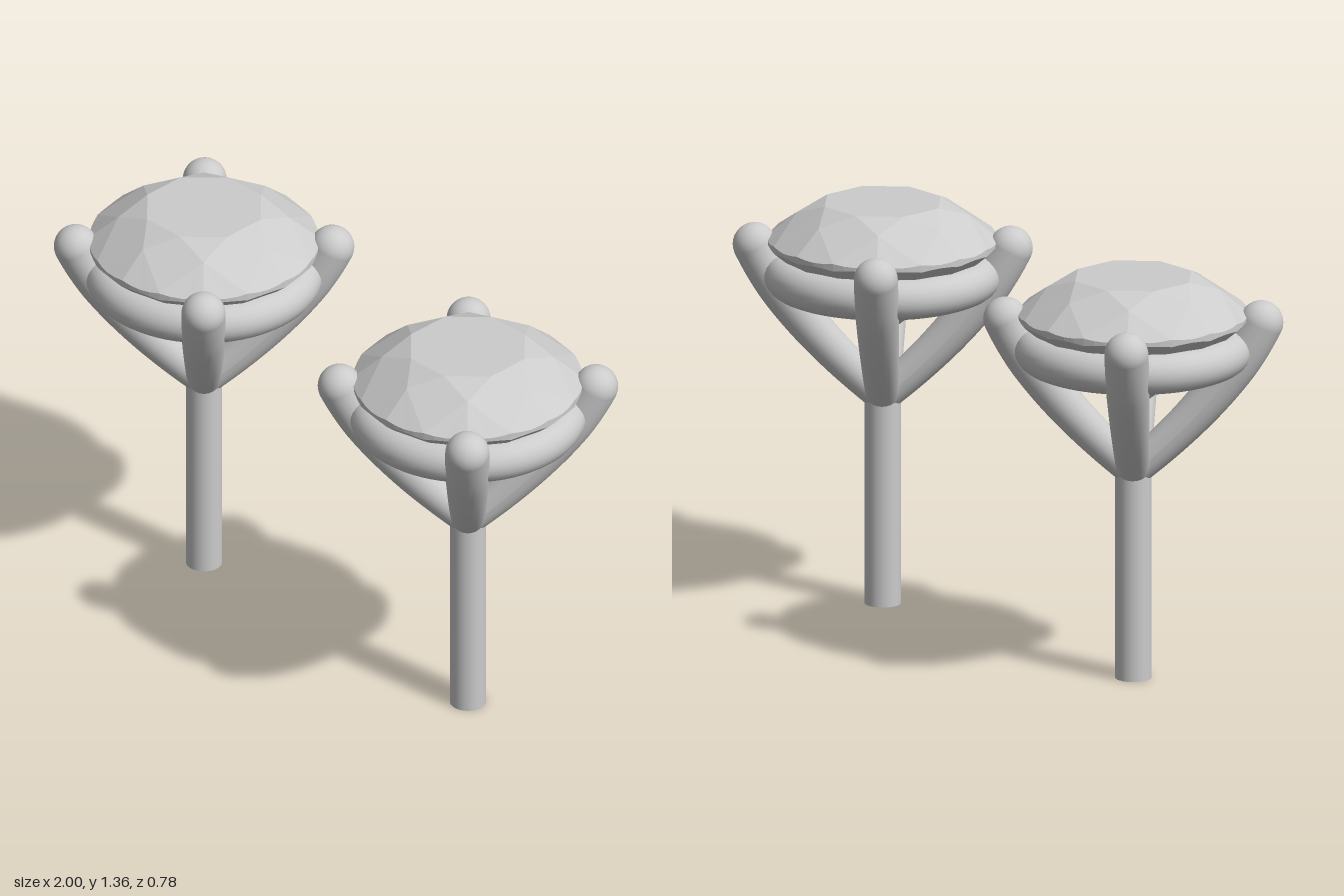
import * as THREE from 'three';

const metal = new THREE.MeshStandardMaterial({ color: 0xcccccc });
const faceted = new THREE.MeshStandardMaterial({ color: 0xcccccc, flatShading: true });

function add(parent, name, geometry, material = metal) {
  const mesh = new THREE.Mesh(geometry, material);
  mesh.name = name;
  parent.add(mesh);
  return mesh;
}

// Round brilliant cut: table, star, kite, girdle and pavilion facets
function gemGeometry() {
  const R = 0.375, pos = [];
  const P = (r, deg, y) => {
    const a = THREE.MathUtils.degToRad(deg);
    return [r * Math.sin(a), y, r * Math.cos(a)];
  };
  const tri = (...corners) => corners.forEach((c) => pos.push(...c));
  const wave = (deg) => 0.0065 * Math.abs(Math.sin(THREE.MathUtils.degToRad(8 * deg)));
  const top = (deg) => P(R, deg, 1.237 - wave(deg));
  const low = (deg) => P(R, deg, 1.212 + wave(deg));
  const tableCentre = [0, 1.355, 0], culet = [0, 0.9, 0];

  for (let i = 0; i < 8; i++) {
    const d = i * 45, a = d - 22.5, b = d + 22.5;
    const tableA = P(0.2, a, 1.355), tableB = P(0.2, b, 1.355);
    const star = P(0.28, d, 1.315), nextStar = P(0.28, d + 45, 1.315);
    const tip = P(0.08, d, 0.9615), nextTip = P(0.08, d + 45, 0.9615);
    tri(tableCentre, tableA, tableB);
    tri(tableA, star, tableB);
    // crown kite and pavilion main facet
    tri(tableB, star, top(b));
    tri(tableB, top(b), nextStar);
    tri(culet, low(b), tip);
    tri(culet, nextTip, low(b));
    // girdle band with the half facets above and below it
    for (let k = 0; k < 8; k++) {
      const u = a + k * 5.625, v = u + 5.625;
      tri(star, top(u), top(v));
      tri(low(u), low(v), top(v));
      tri(low(u), top(v), top(u));
      tri(tip, low(v), low(u));
    }
  }
  const g = new THREE.BufferGeometry();
  g.setAttribute('position', new THREE.Float32BufferAttribute(pos, 3));
  g.computeVertexNormals();
  return g;
}

// Curved prong that swells from the post to its rounded tip
function prongGeometry() {
  const curve = new THREE.QuadraticBezierCurve3(
    new THREE.Vector3(0, 0.7, 0),
    new THREE.Vector3(0.3, 0.958, 0),
    new THREE.Vector3(0.417, 1.205, 0)
  );
  const rings = 24, sides = 24;
  const g = new THREE.TubeGeometry(curve, rings, 0.072, sides, false);
  const p = g.attributes.position, v = new THREE.Vector3();
  for (let i = 0; i < p.count; i++) {
    const t = Math.floor(i / (sides + 1)) / rings;
    const c = curve.getPointAt(t);
    const s = 0.76 + 0.24 * Math.min(1, t * 1.3);
    v.fromBufferAttribute(p, i).sub(c).multiplyScalar(s).add(c);
    p.setXYZ(i, v.x, v.y, v.z);
  }
  g.computeVertexNormals();
  return g;
}

function createStud() {
  const stud = new THREE.Group();

  // Post
  add(stud, 'post', new THREE.CylinderGeometry(0.059, 0.059, 0.71, 32)).position.y = 0.355;

  // Support ring below the stone
  const ring = add(stud, 'supportRing', new THREE.TorusGeometry(0.321, 0.068, 24, 72));
  ring.rotation.x = Math.PI / 2;
  ring.position.y = 1.112;

  // Four prongs on the diagonals
  const shaft = prongGeometry();
  const ball = new THREE.SphereGeometry(0.072, 24, 16);
  for (let i = 0; i < 4; i++) {
    const prong = new THREE.Group();
    prong.name = 'prong';
    add(prong, 'prongShaft', shaft);
    add(prong, 'prongTip', ball).position.set(0.417, 1.205, 0);
    prong.rotation.y = Math.PI / 4 + (i * Math.PI) / 2;
    stud.add(prong);
  }

  // Stone
  add(stud, 'stone', gemGeometry(), faceted);
  return stud;
}

export function createModel() {
  const model = new THREE.Group();
  model.name = 'studEarrings';
  for (const side of [-1, 1]) {
    const stud = createStud();
    stud.name = side > 0 ? 'leftStud' : 'rightStud';
    stud.position.x = side * 0.61;
    model.add(stud);
  }
  return model;
}
